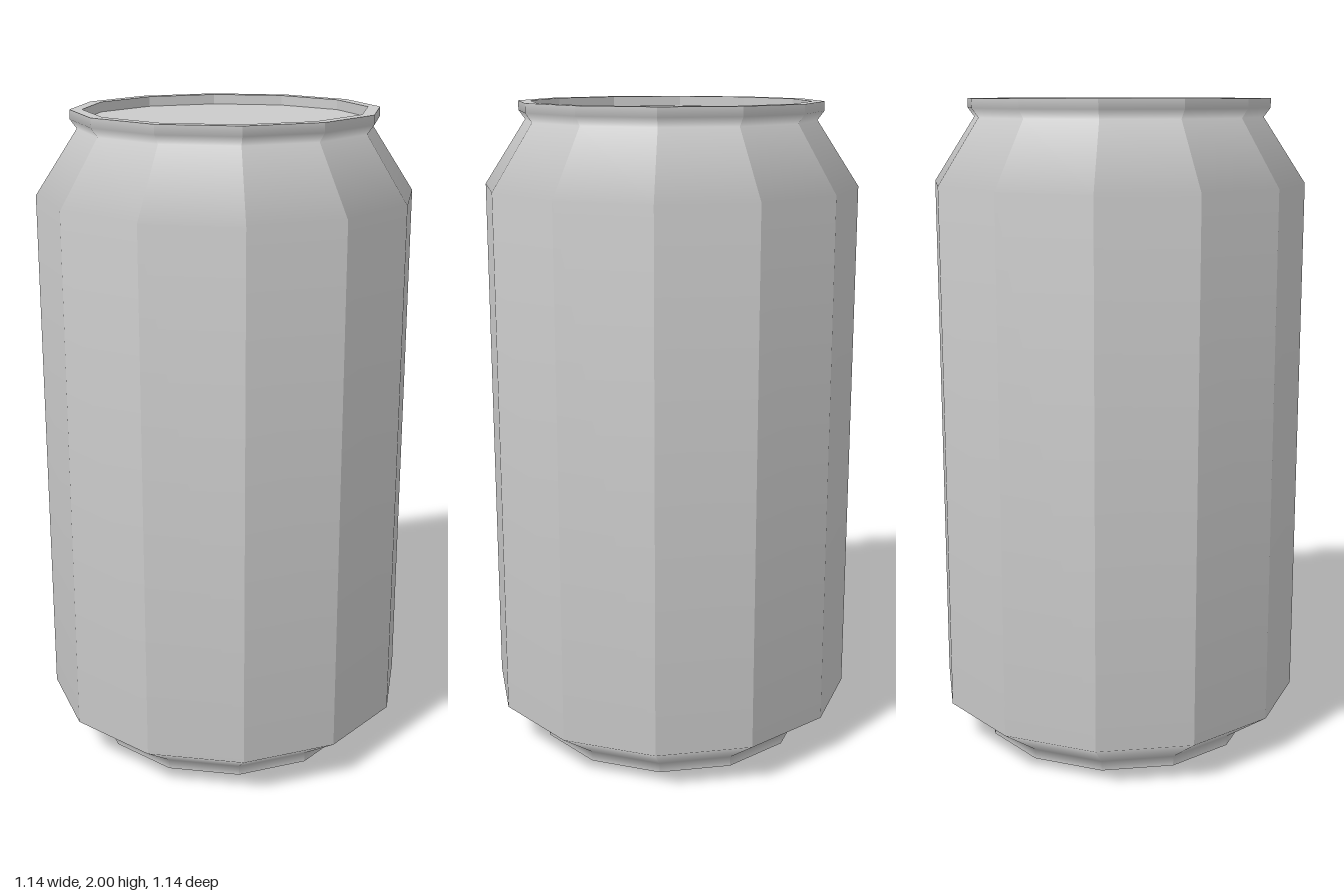
import * as THREE from 'three';

const SIDES = 12;
const STEP = (Math.PI * 2) / SIDES;

// Faceted lathe: flat around the axis, smooth along the profile [radius, height].
function facetedLathe(name, profile, material) {
  const points = profile.map(([r, y]) => new THREE.Vector2(r, y));
  const geometry = new THREE.LatheGeometry(points, SIDES).toNonIndexed();
  const pos = geometry.attributes.position;
  const nor = geometry.attributes.normal;
  const n = new THREE.Vector3();
  for (let i = 0; i < pos.count; i += 3) {
    // Direction of the facet this triangle belongs to
    let cx = 0, cz = 0;
    for (let k = i; k < i + 3; k++) { cx += pos.getX(k); cz += pos.getZ(k); }
    const facet = (Math.floor(Math.atan2(cx, cz) / STEP) + 0.5) * STEP;
    for (let k = i; k < i + 3; k++) {
      const x = pos.getX(k), z = pos.getZ(k), r = Math.hypot(x, z);
      const out = r > 1e-6 ? (nor.getX(k) * x + nor.getZ(k) * z) / r : 0;
      n.set(Math.sin(facet) * out, nor.getY(k), Math.cos(facet) * out).normalize();
      nor.setXYZ(k, n.x, n.y, n.z);
    }
  }
  const mesh = new THREE.Mesh(geometry, material);
  mesh.name = name;
  return mesh;
}

export function createModel() {
  const group = new THREE.Group();
  group.name = 'can';
  const metal = new THREE.MeshStandardMaterial({ color: 0xcccccc });
  const add = (name, profile) => group.add(facetedLathe(name, profile, metal));

  // Outer shell: foot, lower taper, wall, shoulder, neck and rim
  add('shell', [
    [0.43, 0], [0.43, 0.03], [0.57, 0.13], [0.57, 1.75],
    [0.442, 1.945], [0.462, 1.972], [0.462, 2],
  ]);

  // Rim and recessed lid
  add('rimTop', [[0.462, 2], [0.425, 2]]);
  add('rimInside', [[0.425, 2], [0.425, 1.97]]);
  add('lid', [[0.425, 1.97], [0, 1.97]]);

  // Foot ring and recessed base
  add('base', [[0, 0.03], [0.4, 0.03]]);
  add('footInside', [[0.4, 0.03], [0.4, 0]]);
  add('footRing', [[0.4, 0], [0.43, 0]]);

  return group;
}
